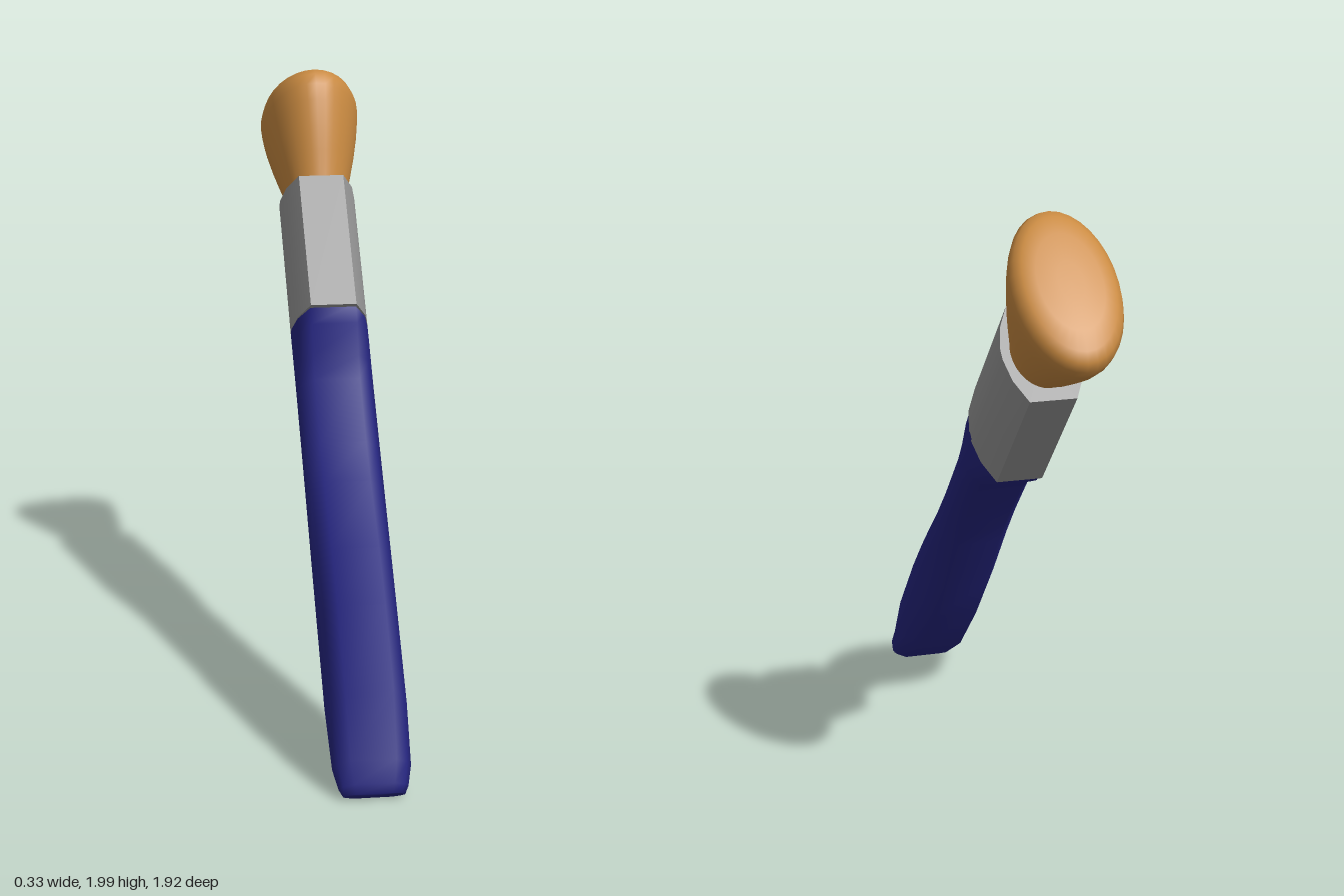
import * as THREE from 'three';
import { toCreasedNormals } from 'three/addons/utils/BufferGeometryUtils.js';

// Unit cross-sections [x, z], running from +x towards +z
const quarter = [[1, 0.1], [0.88, 0.55], [0.59, 1]];
const half = [...quarter, ...quarter.map(([x, z]) => [-x, z]).reverse()];
const faceted = [...half, ...half.map(([x, z]) => [-x, -z])];
const oval = Array.from({ length: 32 }, (_, i) => {
  const a = (i / 32) * Math.PI * 2;
  return [Math.cos(a), Math.sin(a)];
});

// Loft a section along y; stations are [y, half width x, half depth z]
function loft(section, stations, crease) {
  const n = section.length, pos = [], index = [];
  for (const [y, w, d] of stations) for (const [x, z] of section) pos.push(x * w, y, z * d);
  const last = stations.length - 1;
  const bottom = pos.length / 3, top = bottom + 1;
  pos.push(0, stations[0][0], 0, 0, stations[last][0], 0);
  for (let j = 0; j < n; j++) {
    const k = (j + 1) % n;
    for (let i = 0; i < last; i++) {
      const a = i * n + j, b = i * n + k;
      index.push(a, a + n, b, b, a + n, b + n);
    }
    index.push(bottom, j, k, top, last * n + k, last * n + j);
  }
  const g = new THREE.BufferGeometry();
  g.setAttribute('position', new THREE.Float32BufferAttribute(pos, 3));
  g.setIndex(index);
  return toCreasedNormals(g, crease);
}

export function createModel() {
  const model = new THREE.Group();
  model.name = 'paintbrush';
  const brush = new THREE.Group();
  brush.name = 'tiltedBrush';
  model.add(brush);

  const material = (name, color) => {
    const m = new THREE.MeshStandardMaterial({ color });
    m.name = name;
    return m;
  };
  const add = (name, geometry, mat) => {
    const mesh = new THREE.Mesh(geometry, mat);
    mesh.name = name;
    brush.add(mesh);
  };

  // Handle: even width, swelling and waisted in depth
  add('handle', loft(faceted, [
    [-1.62, 0.095, 0.018], [-1.595, 0.107, 0.035], [-1.53, 0.121, 0.062],
    [-1.33, 0.127, 0.12], [-1.05, 0.127, 0.135], [-0.85, 0.127, 0.122],
    [-0.6, 0.127, 0.086], [-0.454, 0.127, 0.077], [-0.227, 0.127, 0.083],
    [-0.15, 0.127, 0.103], [-0.057, 0.127, 0.148], [0.01, 0.127, 0.156],
  ], 1.3), material('blue paint', 0x25257f));

  // Metal sleeve
  add('ferrule', loft(faceted, [[0, 0.127, 0.172], [0.498, 0.127, 0.172]], 0.6),
    material('grey metal', 0x969696));

  // Flared bristle head with a rounded rim and nearly flat end
  add('bristles', loft(oval, [
    [0.48, 0.095, 0.12], [0.52, 0.103, 0.14], [0.6, 0.124, 0.185], [0.67, 0.141, 0.22],
    [0.75, 0.157, 0.258], [0.8, 0.164, 0.276], [0.835, 0.166, 0.28],
    [0.862, 0.157, 0.266], [0.88, 0.138, 0.235], [0.89, 0.1, 0.17], [0.895, 0.04, 0.07],
  ], 1.2), material('tan bristle', 0xc98a41));

  // Lean the brush backwards
  brush.rotation.x = -0.764;
  brush.position.set(0, 1.19, -0.1625);
  return model;
}
